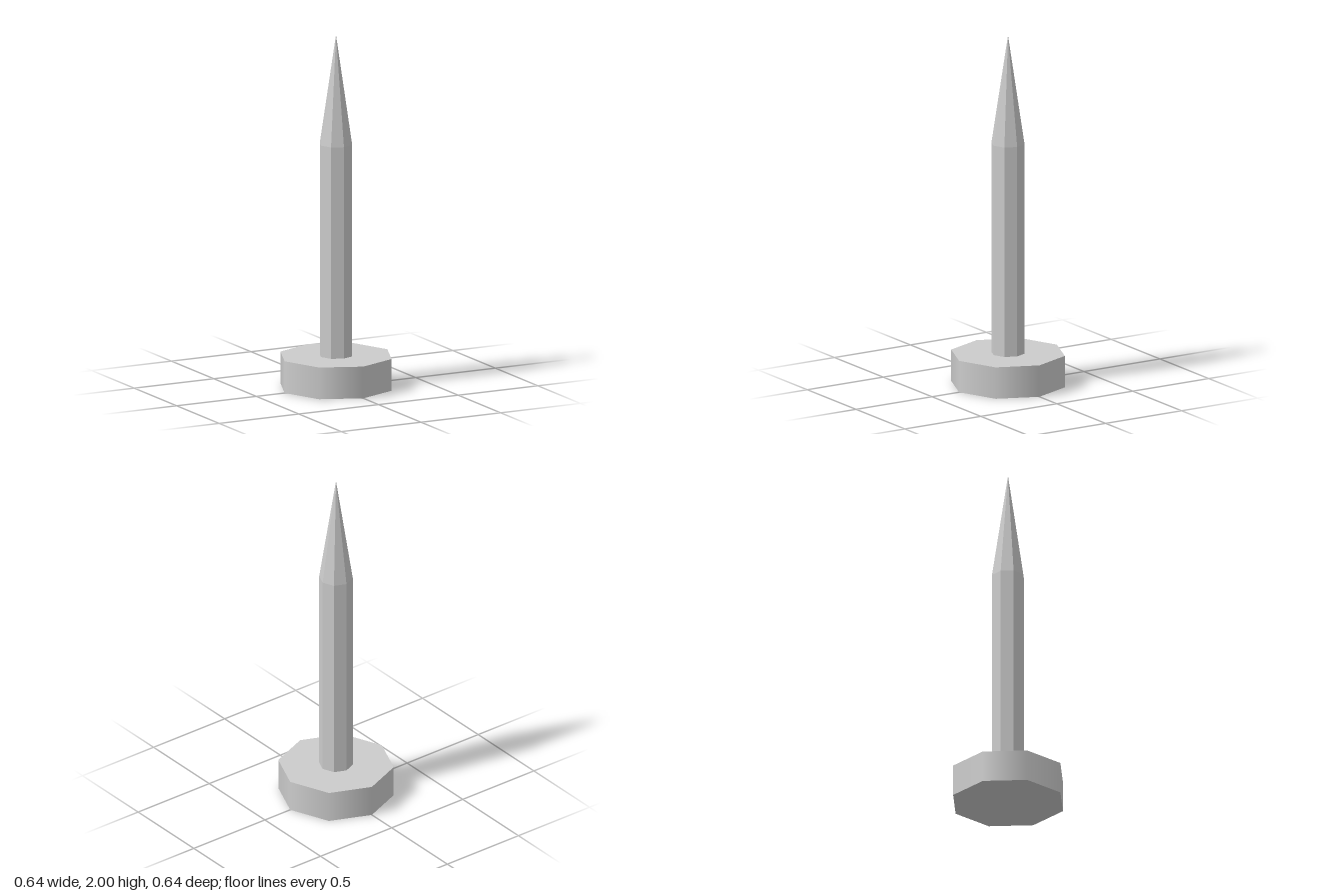
import * as THREE from 'three';

const SIDES = 8;
const HEAD_RADIUS = 0.322, SHAFT_RADIUS = 0.094;
const HEAD_TOP = 0.18, SHAFT_TOP = 1.38, TIP = 2;

export function createModel() {
  const group = new THREE.Group();
  group.name = 'nail';
  const smooth = new THREE.MeshStandardMaterial({ color: 0xcccccc });
  const faceted = new THREE.MeshStandardMaterial({ color: 0xcccccc, flatShading: true });

  // Eight-sided section standing between two heights
  const section = (name, rTop, rBottom, y0, y1, material, open) => {
    const geometry = new THREE.CylinderGeometry(rTop, rBottom, y1 - y0, SIDES, 1, open);
    const mesh = new THREE.Mesh(geometry, material);
    mesh.name = name;
    mesh.position.y = (y0 + y1) / 2;
    group.add(mesh);
  };

  // Flat head with softly shaded rim
  section('head', HEAD_RADIUS, HEAD_RADIUS, 0, HEAD_TOP, smooth, false);
  // Straight faceted shaft
  section('shaft', SHAFT_RADIUS, SHAFT_RADIUS, HEAD_TOP, SHAFT_TOP, faceted, true);
  // Tapered point
  section('point', 0, SHAFT_RADIUS, SHAFT_TOP, TIP, faceted, true);

  return group;
}
